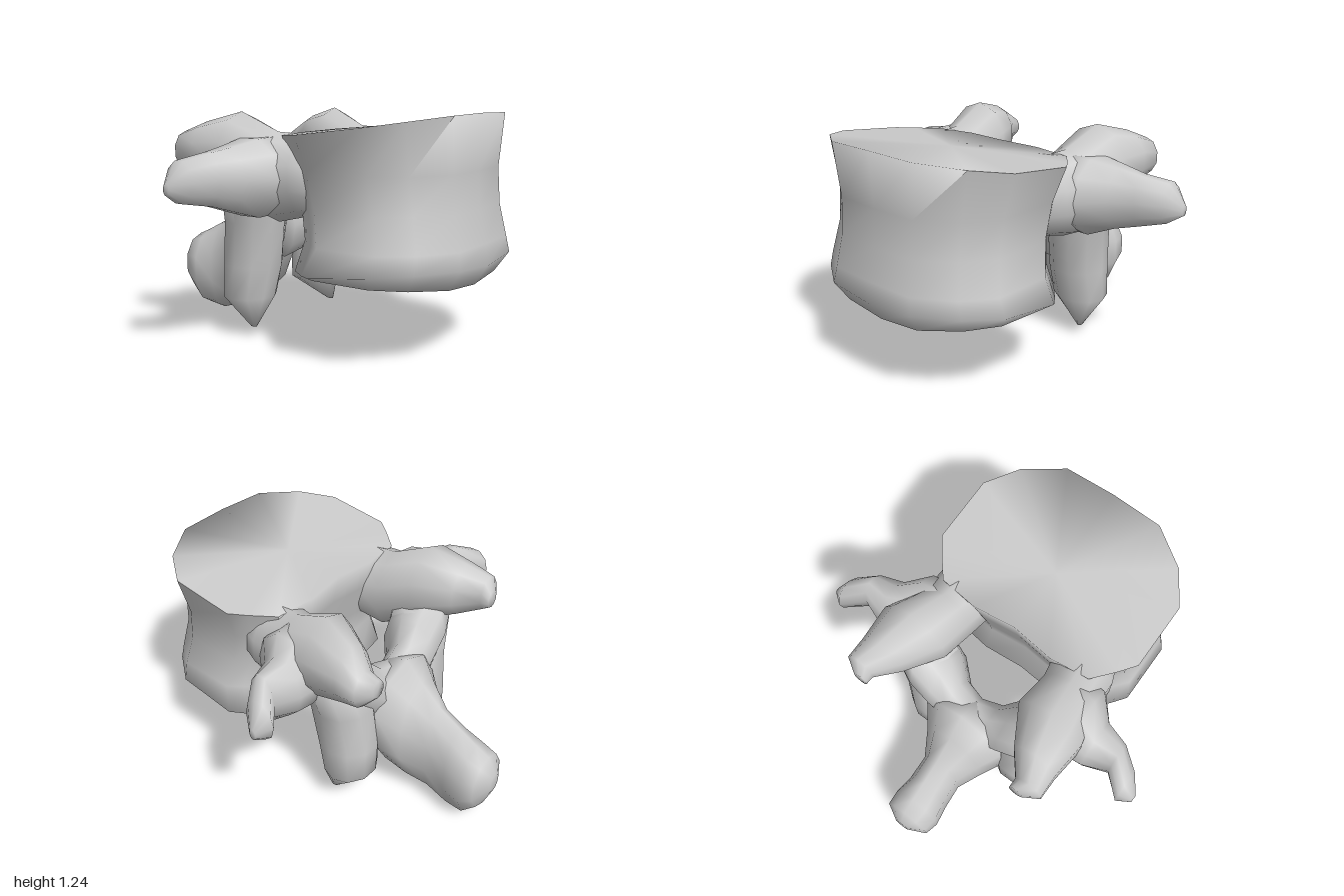
import * as THREE from 'three';
import { toCreasedNormals } from 'three/addons/utils/BufferGeometryUtils.js';

const material = new THREE.MeshStandardMaterial({ color: 0xcccccc });

// Skin a stack of equal-sized closed rings and close both ends.
function skin(name, rings) {
  const n = rings[0].length;
  const position = rings.flat(2);
  const index = [];
  for (let k = 0; k < rings.length - 1; k++) {
    for (let i = 0; i < n; i++) {
      const j = (i + 1) % n;
      const a = k * n + i, b = k * n + j, c = a + n, d = b + n;
      index.push(a, b, d, a, d, c);
    }
  }
  for (const k of [0, rings.length - 1]) {
    const centre = position.length / 3;
    for (let axis = 0; axis < 3; axis++) {
      position.push(rings[k].reduce((sum, p) => sum + p[axis], 0) / n);
    }
    for (let i = 0; i < n; i++) {
      const a = k * n + i, b = k * n + (i + 1) % n;
      if (k) index.push(centre, a, b);
      else index.push(centre, b, a);
    }
  }
  const geometry = new THREE.BufferGeometry();
  geometry.setAttribute('position', new THREE.Float32BufferAttribute(position, 3));
  geometry.setIndex(index);
  const mesh = new THREE.Mesh(toCreasedNormals(geometry, 1.8), material);
  mesh.name = name;
  return mesh;
}

// Loft ellipses [x, y, z, ru, rv] square to one axis (0 = x, 1 = y, 2 = z);
// ru and rv lie along the next two axes in cyclic order.
function loft(name, axis, sections, sides = 10) {
  const u = (axis + 1) % 3, v = (axis + 2) % 3;
  const ordered = [...sections].sort((a, b) => a[axis] - b[axis]);
  return skin(name, ordered.map((s) => Array.from({ length: sides }, (_, i) => {
    const t = (i / sides) * Math.PI * 2;
    const p = s.slice(0, 3);
    p[u] += s[3] * Math.cos(t);
    p[v] += s[4] * Math.sin(t);
    return p;
  })));
}

// Drum-shaped body with a D outline, a waist and flared rims.
function makeBody() {
  const half = [[0.03, 0], [0, 0.24], [0.03, 0.46], [0.16, 0.56], [0.25, 0.62],
    [0.65, 0.62], [0.84, 0.5], [0.99, 0.29], [1, 0]];
  const outline = [...half, ...half.slice(1, -1).reverse().map(([x, z]) => [x, -z])];
  const layers = [ // back x, front x, width scale, height rule
    [0.13, 0.93, 0.9, (x, z) => 0.385 + 0.08 * Math.abs(z)],
    [0.12, 1.0, 1.0, (x, z) => 0.4 + 0.08 * Math.abs(z) + 0.13 * Math.max(0, x - 0.3)],
    [0.17, 0.985, 0.95, () => 0.6],
    [0.13, 0.95, 0.89, () => 0.77],
    [0.08, 0.935, 0.9, () => 0.96],
    [0.04, 0.95, 1.0, (x, z) => 1.13 + 0.12 * x - 0.05 * z * z],
  ];
  return skin('body', layers.map(([x0, x1, w, y]) => outline.map(([fx, fz]) => {
    const x = x0 + fx * (x1 - x0), z = fz * w;
    return [x, y(x, z), z];
  })));
}

export function createModel() {
  const group = new THREE.Group();
  group.name = 'vertebra';
  group.add(makeBody());

  // Arch closing the canal behind the body: x, y, z, x radius, y radius
  const arch = [[-0.29, 0.6, 0.12, 0.12, 0.2], [-0.25, 0.7, 0.22, 0.17, 0.2],
    [-0.23, 0.8, 0.34, 0.18, 0.19], [-0.22, 0.88, 0.45, 0.14, 0.17]];
  group.add(loft('lamina', 2, [
    [-0.31, 0.57, 0, 0.11, 0.2], ...arch, ...arch.map(([x, y, z, a, b]) => [x, y, -z, a, b]),
  ]));

  // Rear spine, flaring into the arch and sloping down to a blunt club end
  group.add(loft('rearSpine', 0, [
    [-0.27, 0.62, 0, 0.14, 0.2], [-0.4, 0.49, 0, 0.33, 0.27], [-0.51, 0.395, 0, 0.315, 0.19],
    [-0.63, 0.325, 0, 0.285, 0.12], [-0.76, 0.27, 0, 0.27, 0.125], [-0.87, 0.25, 0, 0.235, 0.145],
    [-0.95, 0.28, 0, 0.17, 0.135], [-1, 0.3, 0, 0.06, 0.04],
  ]));

  // Paired projections
  for (const [side, s] of [['left', 1], ['right', -1]]) {
    const pair = (name, axis, sections) => group.add(
      loft(side + name, axis, sections.map(([x, y, z, a, b]) => [x, y, z * s, a, b])));
    pair('PedicleAndUpperJoint', 0, [
      [0.35, 0.92, 0.32, 0.17, 0.17], [0.17, 0.92, 0.38, 0.21, 0.18], [0, 0.905, 0.4, 0.235, 0.165],
      [-0.22, 1.02, 0.43, 0.22, 0.2], [-0.42, 1.03, 0.48, 0.155, 0.13],
      [-0.54, 1.03, 0.53, 0.1, 0.08], [-0.59, 1.03, 0.49, 0.05, 0.04],
    ]);
    pair('LowerJoint', 1, [
      [-0.2, 0.92, 0.4, 0.16, 0.17], [-0.23, 0.65, 0.32, 0.17, 0.17], [-0.26, 0.4, 0.305, 0.165, 0.165],
      [-0.28, 0.22, 0.31, 0.16, 0.14], [-0.21, 0.06, 0.37, 0.01, 0.02],
    ]);
    pair('SideWing', 2, [
      [-0.05, 0.92, 0.4, 0.2, 0.21], [-0.07, 0.91, 0.55, 0.2, 0.21], [-0.13, 0.91, 0.66, 0.13, 0.17],
      [-0.13, 0.92, 0.79, 0.08, 0.14], [-0.22, 0.91, 0.9, 0.09, 0.11], [-0.24, 0.88, 0.97, 0.02, 0.03],
    ]);
  }
  return group;
}
